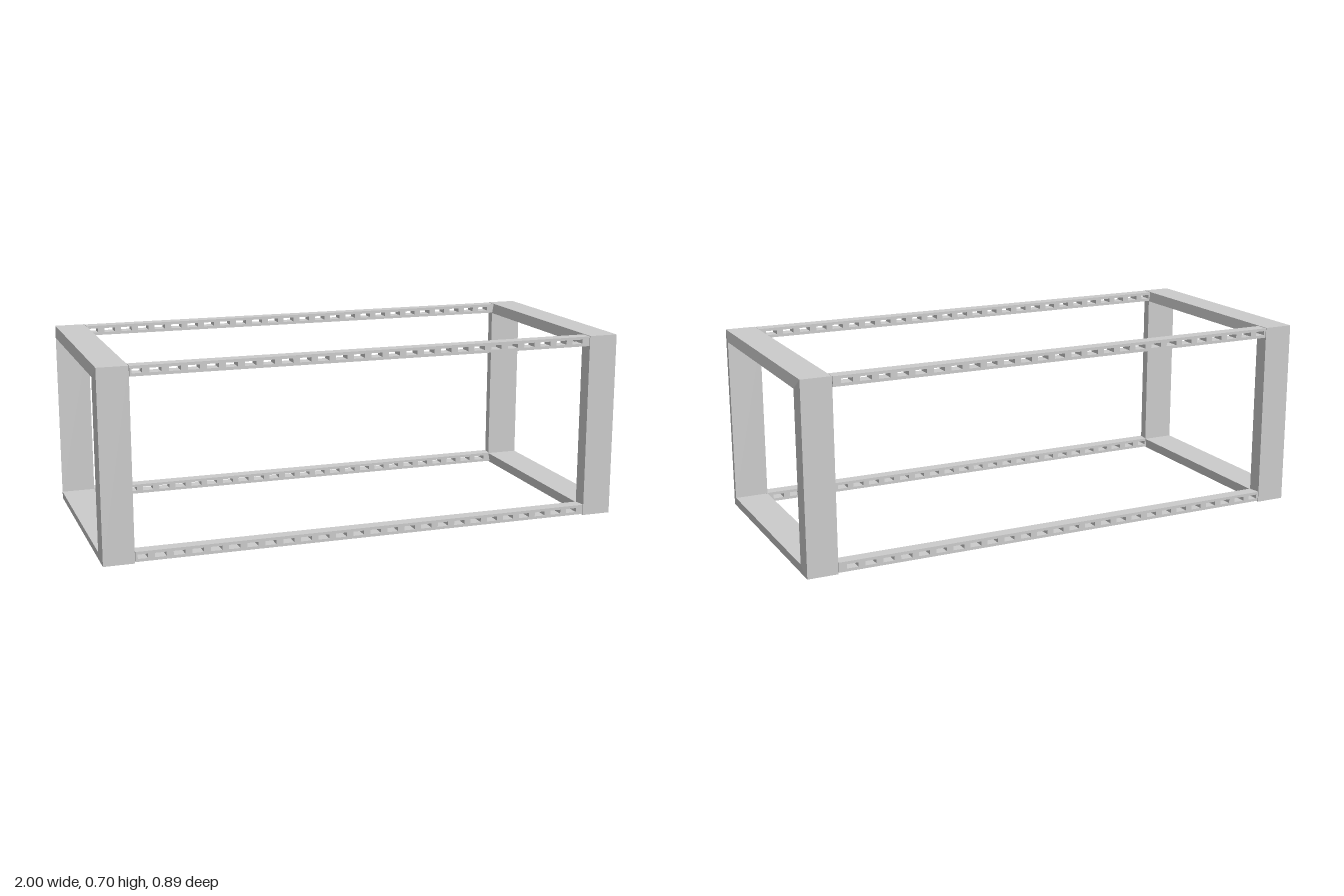
import * as THREE from 'three';

const HEIGHT = 0.705, HALF_DEPTH = 0.447;
const material = new THREE.MeshStandardMaterial({ color: 0xcccccc, flatShading: true });

// Rectangular ring of wide flat bars, mitred at the corners, with slightly splayed sides
function endFrameGeometry() {
  const outer = { z: HALF_DEPTH, y0: 0, y1: HEIGHT };
  const inner = { z: 0.4, y0: 0.04, y1: 0.665 };
  const section = [[0.88, outer], [0.993, outer], [1, inner], [0.873, inner]];
  const loops = section.map(([x, r]) => [
    [x, r.y0, r.z], [x, r.y0, -r.z], [x, r.y1, -r.z], [x, r.y1, r.z],
  ]);
  const points = [];
  for (let i = 0; i < 4; i++) {
    const a = loops[i], b = loops[(i + 1) % 4];
    for (let j = 0; j < 4; j++) {
      const k = (j + 1) % 4;
      points.push(...a[j], ...a[k], ...b[j], ...a[k], ...b[k], ...b[j]);
    }
  }
  const geometry = new THREE.BufferGeometry();
  geometry.setAttribute('position', new THREE.Float32BufferAttribute(points, 3));
  geometry.computeVertexNormals();
  return geometry;
}

function rectangle(path, x0, y0, x1, y1) {
  path.moveTo(x0, y0);
  path.lineTo(x1, y0);
  path.lineTo(x1, y1);
  path.lineTo(x0, y1);
  path.closePath();
  return path;
}

// Long bar with a row of slots cut through it from front to back
function railGeometry(height, depth) {
  const shape = rectangle(new THREE.Shape(), -0.878, 0, 0.878, height);
  const middle = height / 2;
  for (let i = 0; i < 26; i++) {
    const x = -0.855 + i * 0.0673;
    const left = Math.max(x - 0.021, -0.87);
    shape.holes.push(rectangle(new THREE.Path(), left, middle - 0.008, x + 0.021, middle + 0.008));
  }
  return new THREE.ExtrudeGeometry(shape, { depth, bevelEnabled: false });
}

export function createModel() {
  const group = new THREE.Group();
  const add = (name, geometry) => {
    const mesh = new THREE.Mesh(geometry, material);
    mesh.name = name;
    group.add(mesh);
    return mesh;
  };

  // End frames
  const frame = endFrameGeometry();
  add('leftEndFrame', frame);
  add('rightEndFrame', frame).rotation.y = Math.PI;

  // Four slotted rails joining the end frames
  const railHeight = 0.037, railDepth = 0.048;
  const rail = railGeometry(railHeight, railDepth);
  for (const [level, y] of [['Top', HEIGHT - railHeight - 0.001], ['Bottom', 0.005]]) {
    add('front' + level + 'Rail', rail).position.set(0, y, HALF_DEPTH - railDepth);
    add('back' + level + 'Rail', rail).position.set(0, y, -HALF_DEPTH);
  }
  return group;
}
